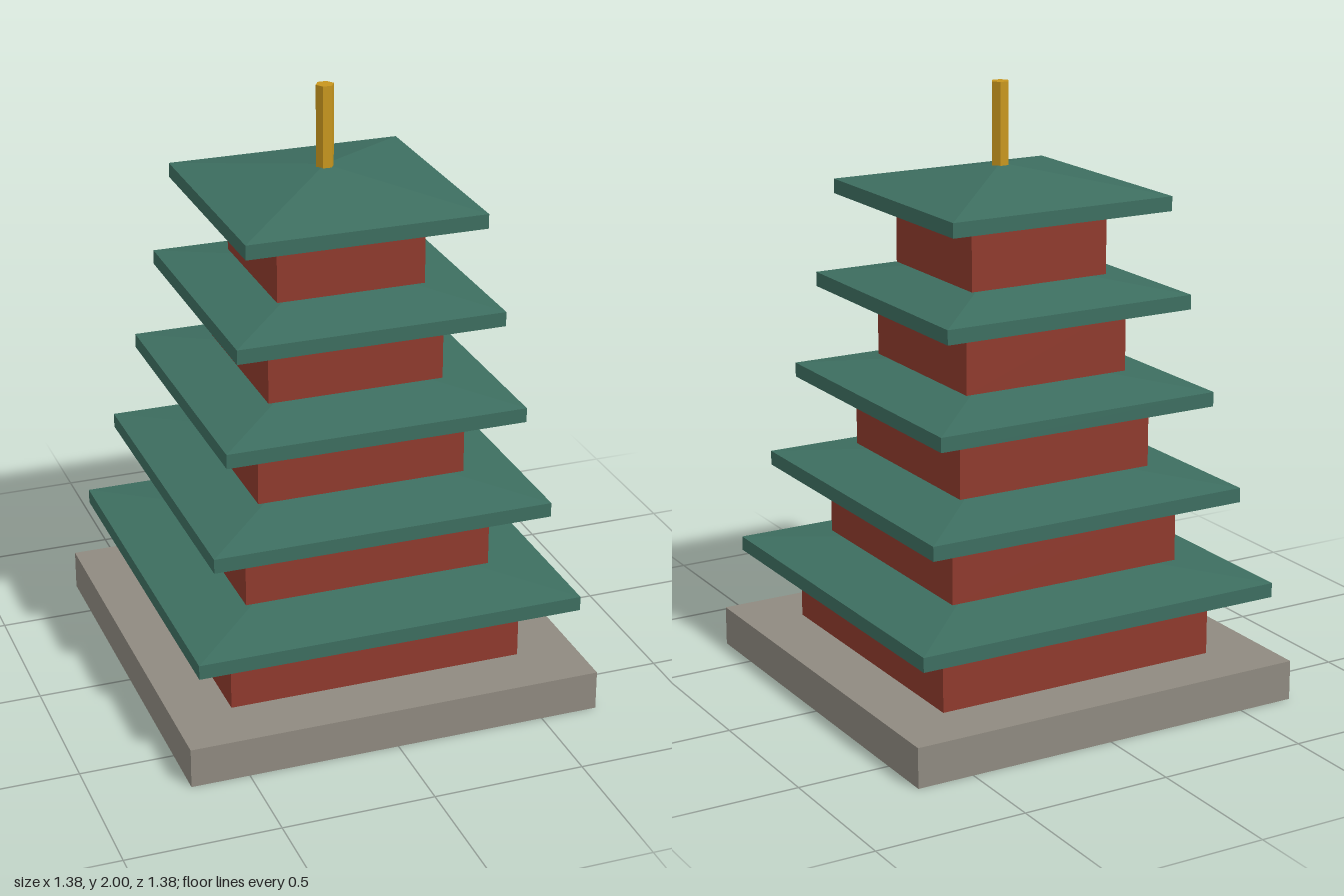
import * as THREE from 'three';

const material = (name, color) => {
  const m = new THREE.MeshStandardMaterial({ color });
  m.name = name;
  return m;
};

export function createModel() {
  const stone = material('stone', 0x8f8a80);
  const red = material('red wall', 0x8f3a2d);
  const green = material('green tile', 0x3d6e60);
  const gold = material('gold', 0xc8961e);

  const model = new THREE.Group();
  model.name = 'pagoda';

  const add = (parent, name, geometry, mat, y) => {
    const mesh = new THREE.Mesh(geometry, mat);
    mesh.name = name;
    mesh.position.y = y;
    parent.add(mesh);
  };

  // Square block standing on y = 0
  const block = (half, height) =>
    new THREE.BoxGeometry(half * 2, height, half * 2).translate(0, height / 2, 0);

  // Flat-sided square pyramid standing on y = 0, open below
  const pyramid = (half, height) => new THREE.ConeGeometry(half * Math.SQRT2, height, 4, 1, true)
    .rotateY(Math.PI / 4)
    .translate(0, height / 2, 0)
    .toNonIndexed();

  const baseHeight = 0.133, wallHeight = 0.216, eaveHeight = 0.048, roofHeight = 0.08;
  const pitch = 0.315, levels = 5;

  add(model, 'base', block(0.692, baseHeight), stone, 0);

  // Storeys shrink upwards; each roof tip runs up into the storey above
  for (let i = 0; i < levels; i++) {
    const storey = new THREE.Group();
    storey.name = `storey${i + 1}`;
    storey.position.y = baseHeight + i * pitch;
    const half = 0.495 * 0.84 ** i;
    const roof = half + 0.149;
    const roofGeometry = pyramid(roof, roofHeight);
    roofGeometry.computeVertexNormals();
    add(storey, 'walls', block(half, wallHeight), red, 0);
    add(storey, 'eaves', block(roof, eaveHeight), green, wallHeight);
    add(storey, 'roof', roofGeometry, green, wallHeight + eaveHeight);
    model.add(storey);
  }

  // Six-sided finial on the top roof
  const bottom = 1.725;
  const finial = new THREE.CylinderGeometry(0.03, 0.03, 2 - bottom, 6)
    .rotateY(Math.PI / 6)
    .toNonIndexed();
  finial.computeVertexNormals();
  add(model, 'finial', finial, gold, (2 + bottom) / 2);

  return model;
}
